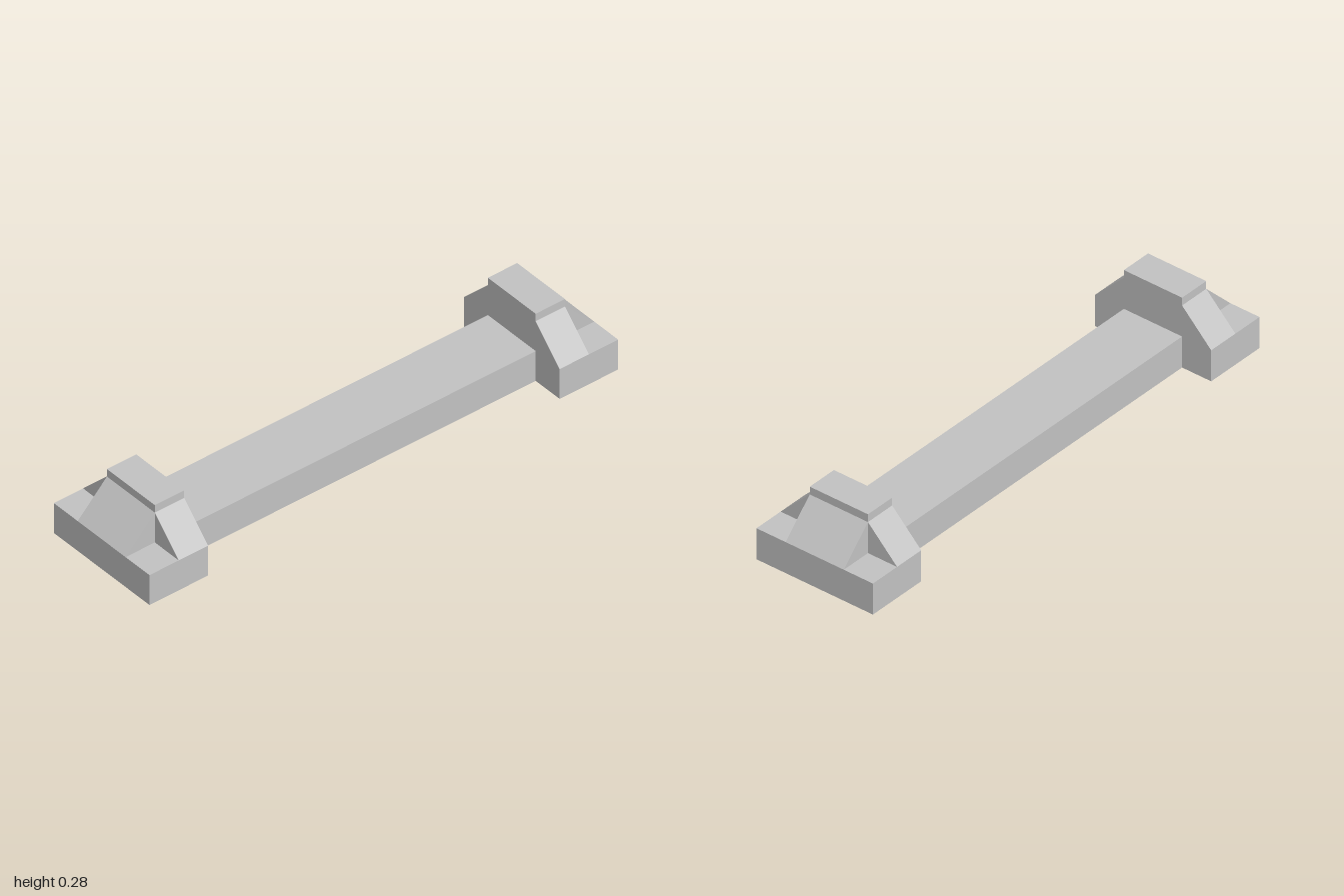
import * as THREE from 'three';

export function createModel() {
  const model = new THREE.Group();
  model.name = 'beamWithEndBlocks';
  const grey = new THREE.MeshStandardMaterial({ color: 0xc2c2c2 });
  grey.name = 'plain grey';

  const U = 0.125; // basic module of the whole piece

  function box(parent, name, w, h, d, x, y, z) {
    const mesh = new THREE.Mesh(new THREE.BoxGeometry(w, h, d), grey);
    mesh.name = name;
    mesh.position.set(x, y + h / 2, z);
    parent.add(mesh);
  }

  // Right-triangle prism: tall at x = 0, sloping down to x = U, centred on z
  function wedge(parent, name, depth, x, y, z, turn) {
    const shape = new THREE.Shape([
      new THREE.Vector2(0, 0), new THREE.Vector2(U, 0), new THREE.Vector2(0, U),
    ]);
    const geo = new THREE.ExtrudeGeometry(shape, { depth, bevelEnabled: false });
    geo.translate(0, 0, -depth / 2);
    const mesh = new THREE.Mesh(geo, grey);
    mesh.name = name;
    mesh.position.set(x, y, z);
    mesh.rotation.y = turn;
    parent.add(mesh);
  }

  // Long connecting beam
  box(model, 'beam', 2 * U, U, 12 * U, 0, 0, 0);

  // Matching end blocks, the back one turned half way round
  for (const [name, turn] of [['frontEnd', 0], ['backEnd', Math.PI]]) {
    const end = new THREE.Group();
    end.name = name;
    end.rotation.y = turn;
    box(end, 'base', 4 * U, U, 2 * U, 0, 0, 7 * U);
    box(end, 'pillar', 2 * U, U, U, 0, U, 6.5 * U);
    box(end, 'cap', 2 * U, U / 4, U, 0, 2 * U, 6.5 * U);
    // Sloping buttresses on both sides and the outer face
    wedge(end, 'leftButtress', U, U, U, 6.5 * U, 0);
    wedge(end, 'rightButtress', U, -U, U, 6.5 * U, Math.PI);
    wedge(end, 'outerButtress', 2 * U, 0, U, 7 * U, -Math.PI / 2);
    model.add(end);
  }
  return model;
}
